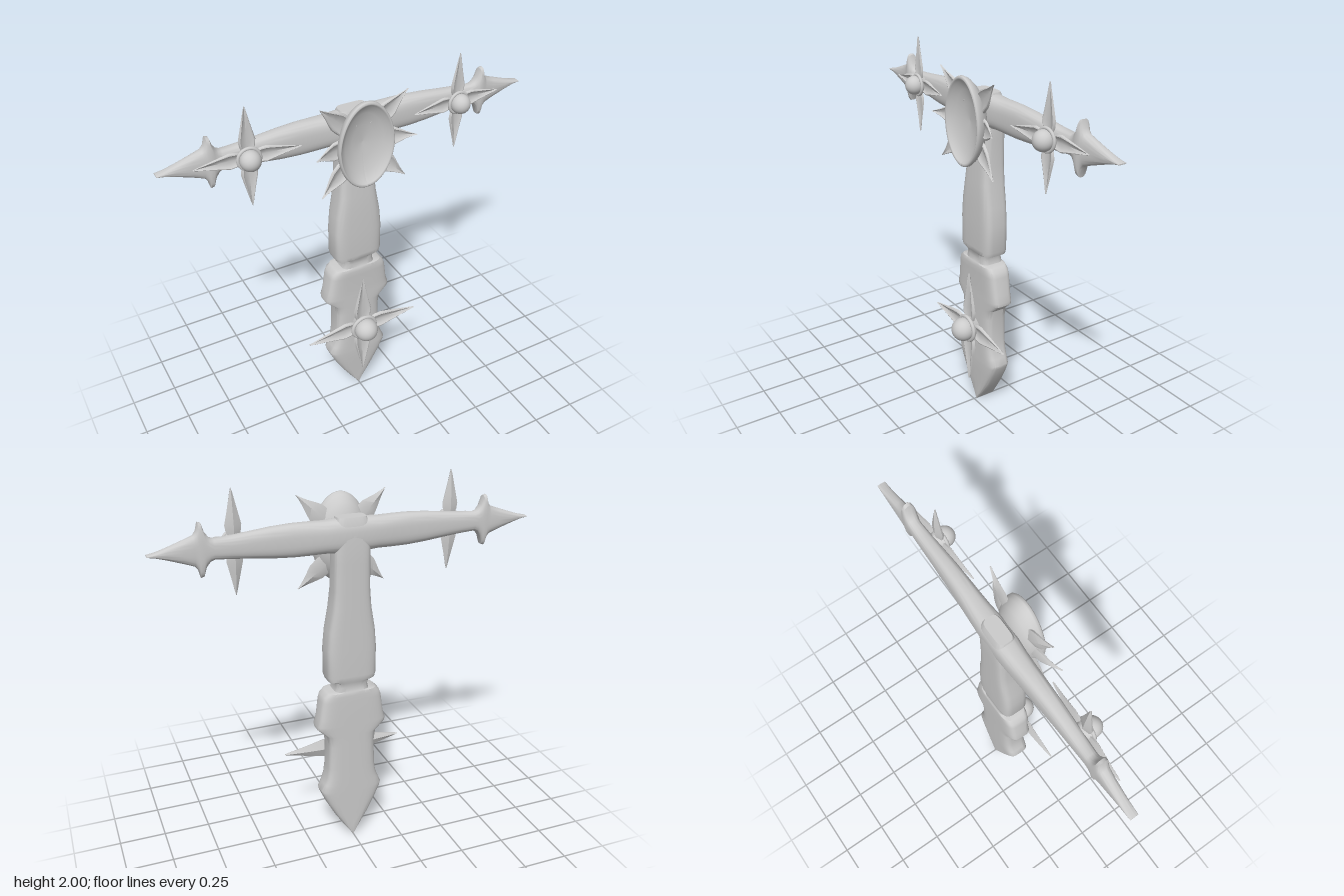
import * as THREE from 'three';
import { toCreasedNormals } from 'three/addons/utils/BufferGeometryUtils.js';

const material = new THREE.MeshStandardMaterial({ color: 0xcccccc, side: THREE.DoubleSide });

function mesh(name, geometry, parent) {
  const m = new THREE.Mesh(geometry, material);
  m.name = name;
  parent.add(m);
  return m;
}

// Skin a list of equal-length rings (counter-clockwise about the path) and cap both ends.
function loft(rings, crease = 0.65) {
  const n = rings[0].length, pos = [], idx = [];
  rings.forEach(r => r.forEach(p => pos.push(...p)));
  for (let j = 0; j < rings.length - 1; j++) {
    for (let i = 0; i < n; i++) {
      const a = j * n + i, b = j * n + (i + 1) % n;
      idx.push(a, b, b + n, a, b + n, a + n);
    }
  }
  [0, rings.length - 1].forEach((j, end) => {
    const c = pos.length / 3;
    pos.push(...[0, 1, 2].map(k => rings[j].reduce((s, p) => s + p[k], 0) / n));
    for (let i = 0; i < n; i++) {
      const a = j * n + i, b = j * n + (i + 1) % n;
      idx.push(...(end ? [c, a, b] : [c, b, a]));
    }
  });
  const g = new THREE.BufferGeometry();
  g.setAttribute('position', new THREE.Float32BufferAttribute(pos, 3));
  g.setIndex(idx);
  return toCreasedNormals(g, crease);
}

// Rounded-rectangle (superellipse) outline as pairs of unit coordinates.
function outline(power, count = 40) {
  const f = v => Math.sign(v) * Math.abs(v) ** (2 / power);
  return Array.from({ length: count }, (_, i) => {
    const a = i / count * Math.PI * 2;
    return [f(Math.cos(a)), f(Math.sin(a))];
  });
}

// Pointed petal along +y: raised rims, a sunken middle and a keeled back.
function petal(length, halfWidth, start, thick, lift, widths) {
  const section = [[0, 0.15], [0.6, 0.6], [0.78, 1], [0.9, 0.9], [1, 0.3],
    [0, -0.6], [-1, 0.3], [-0.9, 0.9], [-0.78, 1], [-0.6, 0.6]];
  return loft(widths.map(([t, w]) => section.map(([x, z]) => [
    x * w * halfWidth,
    start + t * (length - start),
    z * thick * (0.25 + 0.75 * w) + lift * t * t,
  ])));
}

// Four-petalled flower with a ball in its centre.
function flower(name) {
  const g = new THREE.Group();
  g.name = name;
  const widths = [[0, 0.6], [0.12, 0.9], [0.25, 1], [0.45, 0.74], [0.7, 0.42], [0.9, 0.18], [1, 0.02]];
  for (let i = 0; i < 4; i++) {
    mesh('petal', petal(0.337, 0.054, 0.04, 0.022, 0.012, widths), g).rotation.z = i * Math.PI / 2;
  }
  const cup = mesh('flowerCup', new THREE.CylinderGeometry(0.074, 0.055, 0.05, 32), g);
  cup.rotation.x = Math.PI / 2;
  cup.position.z = 0.005;
  mesh('collar', new THREE.TorusGeometry(0.07, 0.011, 10, 36), g).position.z = 0.028;
  mesh('flowerBall', new THREE.SphereGeometry(0.066, 32, 20), g).position.z = 0.052;
  return g;
}

export function createModel() {
  const model = new THREE.Group();
  model.name = 'ornateCross';

  // Upright post: height, half width, front z, back z
  const post = [
    [0, 0.003, -0.015, -0.137], [0.06, 0.048, -0.013, -0.137], [0.14, 0.1, -0.008, -0.137],
    [0.22, 0.143, -0.003, -0.137], [0.28, 0.17, 0, -0.137], [0.3, 0.175, 0, -0.137],
    [0.34, 0.158, 0, -0.137], [0.38, 0.143, 0, -0.137], [0.44, 0.135, 0, -0.137],
    [0.58, 0.131, 0, -0.137], [0.64, 0.14, 0, -0.137], [0.69, 0.193, 0, -0.137],
    [0.71, 0.195, 0, -0.137], [0.75, 0.182, 0, -0.137], [0.85, 0.168, 0.005, -0.137],
    [0.88, 0.158, 0.006, -0.136], [0.9, 0.135, 0.004, -0.135], [0.905, 0.095, 0, -0.132],
    [0.93, 0.088, -0.002, -0.13], [0.955, 0.095, 0, -0.132], [0.965, 0.128, 0.008, -0.136],
    [0.99, 0.136, 0.01, -0.137], [1.14, 0.136, 0.01, -0.137], [1.24, 0.127, 0.009, -0.137],
    [1.36, 0.106, 0.005, -0.137], [1.46, 0.097, -0.004, -0.137], [1.6, 0.095, -0.012, -0.137],
    [1.74, 0.094, -0.018, -0.137], [1.8, 0.086, -0.026, -0.13], [1.83, 0.075, -0.04, -0.118],
  ];
  const box = outline(4.5);
  mesh('post', loft(post.map(([y, w, f, b]) =>
    box.map(([c, s]) => [s * w, y, (f + b) / 2 + c * (f - b) / 2]))), model);

  // Crossbar with barbed arrow ends: x, half height, front z, back z (mirrored)
  const half = [
    [0.07, 0.085, -0.012, -0.137], [0.14, 0.08, -0.018, -0.133], [0.22, 0.082, -0.022, -0.127],
    [0.3, 0.082, -0.024, -0.122], [0.4, 0.076, -0.027, -0.117], [0.5, 0.065, -0.032, -0.113],
    [0.6, 0.055, -0.037, -0.11], [0.68, 0.05, -0.041, -0.107], [0.7, 0.058, -0.041, -0.107],
    [0.72, 0.085, -0.036, -0.107], [0.733, 0.128, -0.034, -0.107], [0.748, 0.133, -0.036, -0.106],
    [0.757, 0.095, -0.038, -0.105], [0.772, 0.074, -0.041, -0.105], [0.82, 0.056, -0.046, -0.104],
    [0.9, 0.028, -0.052, -0.102], [0.95, 0.012, -0.055, -0.101], [0.99, 0.003, -0.056, -0.1],
  ];
  const bar = [...half.map(([x, ...r]) => [-x, ...r]).reverse(), ...half];
  const round = outline(2.8);
  mesh('crossbar', loft(bar.map(([x, h, f, b]) =>
    round.map(([c, s]) => [x, 1.737 + c * h, (f + b) / 2 + s * (f - b) / 2]))), model);

  // Oval dish at the crossing, slightly narrower toward its top
  const profile = [[0, -0.03], [0.35, -0.027], [0.62, -0.015], [0.82, 0.01], [0.95, 0.04], [1, 0.062],
    [0.995, 0.075], [0.96, 0.081], [0.92, 0.077], [0.87, 0.064], [0.7, 0.045], [0.4, 0.029], [0, 0.023]];
  const dish = new THREE.LatheGeometry(profile.map(p => new THREE.Vector2(...p)), 56);
  dish.rotateX(Math.PI / 2);
  const p = dish.attributes.position;
  for (let i = 0; i < p.count; i++) {
    const y = p.getY(i);
    p.setXY(i, p.getX(i) * 0.153 * (1 - 0.08 * Math.max(0, y)), y * 0.232);
  }
  dish.computeVertexNormals();
  mesh('ovalDish', dish, model).position.set(0, 1.687, 0);

  // Six leaves around the dish: base x, y, z, tip x, y, z
  const leafWidths = [[0, 0.8], [0.25, 1], [0.45, 0.95], [0.6, 0.68], [0.75, 0.38], [0.9, 0.14], [1, 0.02]];
  const leaves = [
    [0.06, 1.76, 0.02, 0.236, 1.922, 0.025],
    [0.08, 1.68, 0.02, 0.275, 1.68, 0.06],
    [0.06, 1.6, 0.02, 0.236, 1.442, 0.025],
  ];
  for (const side of [1, -1]) {
    for (const [x, y, z, tx, ty, tz] of leaves) {
      const length = Math.hypot(tx - x, ty - y);
      const leaf = mesh('leaf', petal(length, 0.052, 0, 0.018, tz - z + 0.02, leafWidths), model);
      leaf.position.set(side * x, y, z);
      leaf.rotation.z = Math.atan2(-side * (tx - x), ty - y);
    }
  }

  // Large flower on the post, smaller ones on the arms
  const low = flower('postFlower');
  low.position.set(0, 0.497, 0.02);
  model.add(low);
  for (const side of [1, -1]) {
    const f = flower(side > 0 ? 'leftArmFlower' : 'rightArmFlower');
    f.scale.setScalar(0.775);
    f.position.set(side * 0.57, 1.739, -0.028);
    f.rotation.y = side * 0.06;
    model.add(f);
  }
  return model;
}
